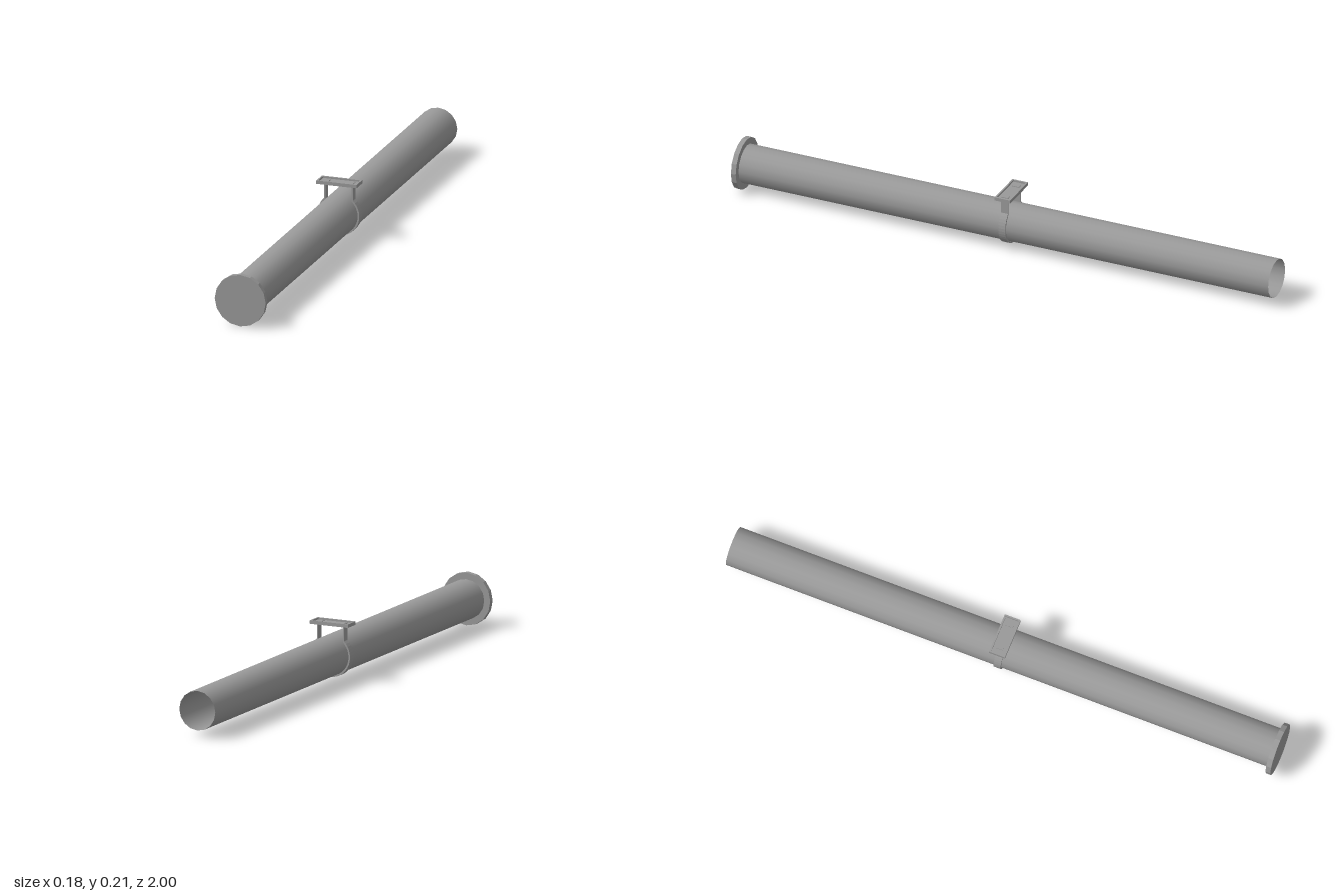
import * as THREE from 'three';

const AXIS_Y = 0.092; // height of the pipe axis
const MID_Z = -0.006; // where the bracket sits along the pipe
const COLOR = 0x999999;

export function createModel() {
  const group = new THREE.Group();
  const grey = new THREE.MeshStandardMaterial({ color: COLOR });
  const flat = new THREE.MeshStandardMaterial({ color: COLOR, flatShading: true });
  const thin = new THREE.MeshStandardMaterial({ color: COLOR, side: THREE.DoubleSide });

  const add = (name, geometry, material, x, y, z) => {
    const mesh = new THREE.Mesh(geometry, material);
    mesh.name = name;
    mesh.position.set(x, y, z);
    group.add(mesh);
  };

  // Long thin-walled pipe, open at the back
  const pipe = new THREE.CylinderGeometry(0.069, 0.069, 1.99, 16, 1, true).rotateX(Math.PI / 2);
  add('pipe', pipe, thin, 0, AXIS_Y, -0.005);

  // Disc closing the front end
  const cap = new THREE.CylinderGeometry(0.092, 0.092, 0.018, 16).rotateX(Math.PI / 2);
  add('endFlange', cap, flat, 0, AXIS_Y, 0.991);

  // Strap: a band under the pipe whose ends rise as two straight legs
  const outer = 0.075, inner = 0.069, legOut = 0.052, legIn = 0.0475;
  const top = 0.203 - AXIS_Y;
  const a = Math.acos(legOut / outer), b = Math.acos(legIn / inner);
  const strap = new THREE.Shape();
  strap.moveTo(legOut, top);
  strap.lineTo(legOut, outer * Math.sin(a));
  strap.absarc(0, 0, outer, a, Math.PI - a, true);
  strap.lineTo(-legOut, top);
  strap.lineTo(-legIn, top);
  strap.lineTo(-legIn, inner * Math.sin(b));
  strap.absarc(0, 0, inner, Math.PI - b, b, false);
  strap.lineTo(legIn, top);
  const strapGeo = new THREE.ExtrudeGeometry(strap, { depth: 0.026, bevelEnabled: false, curveSegments: 16 });
  add('strap', strapGeo, grey, 0, AXIS_Y, MID_Z - 0.013);

  // Mounting tray: narrow rectangular rim around a shallow recessed floor
  const w = 0.146, d = 0.058, rim = 0.006;
  const rect = (target, hw, hd) => target
    .moveTo(-hw, -hd).lineTo(hw, -hd).lineTo(hw, hd).lineTo(-hw, hd).closePath();
  const frame = rect(new THREE.Shape(), w / 2, d / 2);
  frame.holes.push(rect(new THREE.Path(), w / 2 - rim, d / 2 - rim));
  const frameGeo = new THREE.ExtrudeGeometry(frame, { depth: 0.012, bevelEnabled: false }).rotateX(-Math.PI / 2);
  add('trayRim', frameGeo, grey, -0.002, 0.198, MID_Z);
  add('trayFloor', new THREE.BoxGeometry(w - 2 * rim, 0.006, d - 2 * rim), grey, -0.002, 0.201, MID_Z);

  // Strap ends folded inward on the tray floor
  for (const side of [-1, 1]) {
    add('strapTab', new THREE.BoxGeometry(0.016, 0.003, 0.026), grey, side * 0.044, 0.205, MID_Z);
  }

  return group;
}
